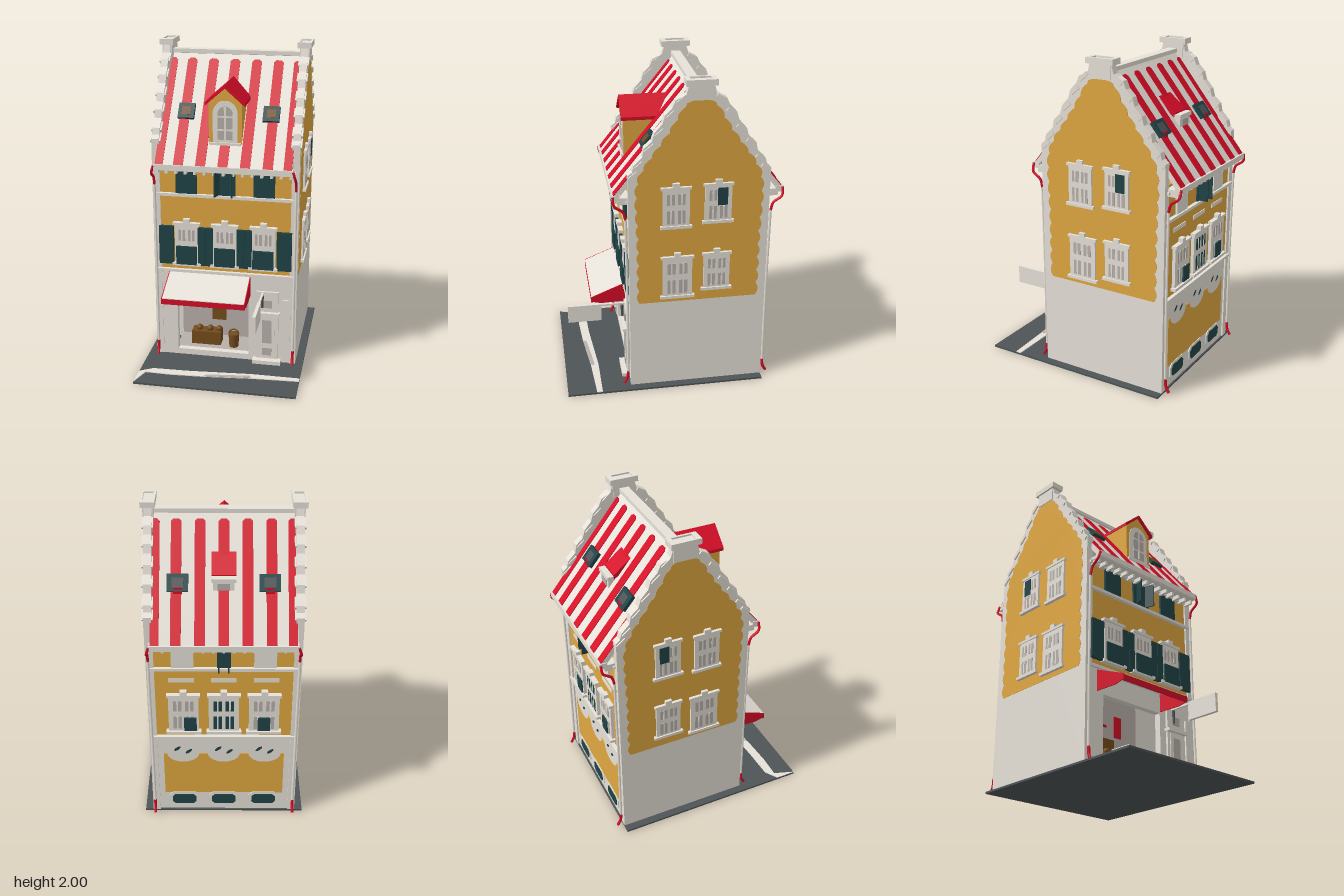
import * as THREE from 'three';

const mat = (name, color) => Object.assign(new THREE.MeshStandardMaterial({ color }), { name });
const white = mat('plaster white', 0xe6e1d8);
const yellow = mat('ochre wall', 0xe0a740);
const red = mat('roof red', 0xd60c26);
const green = mat('shutter green', 0x204346);
const slate = mat('paving slate', 0x4e5456);
const grey = mat('pane grey', 0xb8b0aa);
const brown = mat('wood brown', 0x744c1c);

const MID = -0.15; // z of the ridge

function add(parent, name, geo, material, x = 0, y = 0, z = 0) {
  const m = new THREE.Mesh(geo, material);
  m.name = name;
  m.position.set(x, y, z);
  parent.add(m);
  return m;
}
const box = (parent, name, material, w, h, d, x, y, z) =>
  add(parent, name, new THREE.BoxGeometry(w, h, d), material, x, y, z);

function group(parent, name, x = 0, y = 0, z = 0, ry = 0) {
  const g = new THREE.Group();
  g.name = name;
  g.position.set(x, y, z);
  g.rotation.y = ry;
  parent.add(g);
  return g;
}
const shapeOf = pts => new THREE.Shape(pts.map(p => new THREE.Vector2(p[0], p[1])));
const extrude = (shape, depth) =>
  new THREE.ExtrudeGeometry(shape, { depth, bevelEnabled: false, curveSegments: 12 });
// Profile given as (z, y), extruded along x and centred on x = 0
const sideExtrude = (pts, depth) =>
  extrude(shapeOf(pts), depth).rotateY(-Math.PI / 2).translate(depth / 2, 0, 0);
// Right half profile (w, y) closed by its mirror image
const mirrored = half => [...half, ...half.map(([w, y]) => [-w, y]).reverse()];
// Plate with chamfered corners, centred on the origin
const chamfered = (w, h, c) => shapeOf(mirrored([[w / 2 - c, -h / 2], [w / 2, -h / 2 + c], [w / 2, h / 2 - c], [w / 2 - c, h / 2]]));

// Casement window facing +z, standing on its local origin
function windowUnit(parent, name, x, y, z, w, h, pane = grey) {
  const g = group(parent, name, x, y, z);
  box(g, 'windowFrame', white, w, h, 0.02, 0, h / 2, 0.01);
  const pw = w * 0.28, ph = h * 0.34;
  for (const s of [-1, 1]) for (const [fy, k] of [[0.27, 1], [0.72, 0.8]]) {
    box(g, 'pane', pane, pw, ph * k, 0.006, s * w * 0.2, h * fy, 0.019);
    box(g, 'glazingBar', white, 0.01, ph * k, 0.008, s * w * 0.2, h * fy, 0.02);
  }
  box(g, 'windowSill', white, w + 0.03, 0.018, 0.035, 0, 0.004, 0.017);
  box(g, 'windowLintel', white, w + 0.02, 0.016, 0.03, 0, h, 0.015);
  box(g, 'keystone', white, 0.04, 0.035, 0.03, 0, h + 0.015, 0.015);
}

function buildGable(root, s) {
  const g = group(root, 'gableWall', s * 0.428, 0, MID);
  // Stepped white wall rising into a chimney block
  const outline = [[0.42, 0.01], [0.42, 1.45], [0.395, 1.47], [0.385, 1.51], [0.335, 1.56], [0.325, 1.61],
    [0.28, 1.65], [0.265, 1.7], [0.22, 1.75], [0.205, 1.8], [0.165, 1.84], [0.145, 1.885], [0.085, 1.915], [0.07, 1.97]];
  add(g, 'gablePlaster', sideExtrude(mirrored(outline), 0.046), white);
  box(g, 'chimneyBlock', white, 0.06, 0.1, 0.14, 0, 1.93, 0);
  for (const e of [-1, 1]) {
    box(g, 'chimneyRim', white, 0.014, 0.035, 0.18, e * 0.035, 1.9825, 0);
    box(g, 'chimneyRim', white, 0.084, 0.035, 0.03, 0, 1.9825, e * 0.075);
  }
  box(g, 'chimneyTop', white, 0.06, 0.02, 0.14, 0, 1.98, 0);
  // Coping blocks on every step
  for (const e of [-1, 1]) for (let i = 1; i < outline.length - 2; i += 2) {
    const [w, y] = outline[i];
    const b = box(g, 'copingBlock', white, 0.064, 0.022, 0.065, 0, y, e * (w - 0.033));
    b.rotation.x = e * 0.7;
  }
  // Ochre field with a scalloped border
  const curve = new THREE.CatmullRomCurve3([[0.36, 0.605], [0.36, 1.0], [0.36, 1.4], [0.315, 1.5], [0.245, 1.6],
    [0.175, 1.7], [0.115, 1.8], [0.075, 1.86], [0.01, 1.885]].map(p => new THREE.Vector3(...p, 0)));
  const half = curve.getSpacedPoints(96).map((p, i) => [p.x + 0.016 * Math.abs(Math.sin(i * Math.PI / 6)), p.y]);
  add(g, 'ochreField', sideExtrude(mirrored(half), 0.004), yellow, s * 0.023);
  // Four shallow side windows
  const face = group(g, 'sideWindows', s * 0.025, 0, 0, s * Math.PI / 2);
  face.scale.z = 0.6;
  for (const [z, y, w, h] of [[0.14, 1.11, 0.16, 0.25], [-0.11, 1.13, 0.16, 0.24],
    [0.13, 0.64, 0.18, 0.27], [-0.11, 0.68, 0.16, 0.24]]) windowUnit(face, 'sideWindow', -s * z, y, 0, w, h);
  box(face, 'openPane', green, 0.06, 0.11, 0.006, s * 0.135, 1.295, 0.026);
}

function buildRoof(root) {
  const angle = Math.atan2(0.63, 0.51), len = 0.81;
  for (const ry of [0, Math.PI]) {
    const back = ry > 0;
    const side = group(root, back ? 'backRoof' : 'frontRoof', 0, 1.93, MID, ry);
    const slope = group(side, 'roofSlope');
    slope.rotation.x = angle;
    box(slope, 'roofSheet', white, 0.83, 0.03, len, 0, -0.015, len / 2);
    for (let i = -3; i <= 3; i++) {
      const outer = Math.abs(i) === 3;
      const stripe = chamfered(outer ? 0.05 : 0.06, len - 0.07, 0.015);
      add(slope, 'roofStripe', extrude(stripe, 0.004).rotateX(-Math.PI / 2), red, i * (outer ? 0.1295 : 0.135), 0, len / 2 + 0.03);
    }
    // Skylights, the rear ones with a red upright apron
    const at = 0.436, w = back ? 0.12 : 0.1;
    for (const x of [-0.26, 0.26]) {
      box(slope, 'skylightFrame', green, w, 0.022, 0.1, x, 0.01, at);
      box(slope, 'skylightPane', back ? slate : brown, w * 0.55, 0.006, 0.055, x, 0.02, at);
      if (back) box(slope, 'skylightApron', red, 0.05, 0.04, 0.006, x, 0.012, at + 0.047).rotation.x = -angle;
    }
    // Gutter and eave brackets
    box(side, 'gutter', white, 0.84, 0.035, 0.045, 0, -0.63, 0.488);
    box(side, 'soffit', white, 0.84, 0.02, 0.1, 0, -0.64, 0.45);
    for (let i = 0; i < 15; i++) box(side, 'eaveBracket', white, 0.016, 0.03, 0.06, (i - 7) * 0.058, -0.66, 0.45);
    // Downpipes with red head and shoe
    for (const s of [-1, 1]) {
      const pipe = (name, m, pts, r) => add(root, name, new THREE.TubeGeometry(new THREE.CatmullRomCurve3(
        pts.map(([z, y, x = 0.435]) => new THREE.Vector3(s * x, y, MID + z * (back ? -1 : 1)))), 16, r, 8), m);
      pipe('pipeHead', red, [[0.505, 1.31, 0.42], [0.5, 1.26], [0.45, 1.22], [0.435, 1.17]], 0.008);
      pipe('downpipe', white, [[0.435, 1.17], [0.432, 0.6], [0.435, 0.1]], 0.008);
      pipe('pipeShoe', red, [[0.435, 0.11], [0.44, 0.06], [0.46, 0.022]], 0.009);
    }
  }
  box(root, 'ridgeCap', white, 0.83, 0.025, 0.06, 0, 1.922, MID);
}

function archShape(w, h) {
  const s = new THREE.Shape();
  s.moveTo(-w / 2, 0);
  s.lineTo(w / 2, 0);
  s.lineTo(w / 2, h - w / 2);
  s.absarc(0, h - w / 2, w / 2, 0, Math.PI, false);
  return s;
}

function buildDormers(root) {
  const d = group(root, 'frontDormer');
  add(d, 'dormerBody', extrude(shapeOf([[-0.1, 1.4], [0.1, 1.4], [0.1, 1.68], [0, 1.77], [-0.1, 1.68]]), 0.29), yellow, 0, 0, -0.04);
  add(d, 'dormerRoof', extrude(shapeOf([[-0.12, 1.665], [0, 1.77], [0.12, 1.665], [0.12, 1.685], [0, 1.79], [-0.12, 1.685]]), 0.31), red, 0, 0, -0.045);
  add(d, 'archFrame', extrude(archShape(0.15, 0.261), 0.008), white, 0, 1.434, 0.247);
  add(d, 'archPane', extrude(archShape(0.09, 0.202), 0.005), grey, 0, 1.46, 0.253);
  box(d, 'archBar', white, 0.014, 0.2, 0.008, 0, 1.56, 0.256);
  for (const y of [1.52, 1.6]) box(d, 'archBar', white, 0.09, 0.01, 0.008, 0, y, 0.256);
  box(d, 'archSill', white, 0.19, 0.016, 0.02, 0, 1.435, 0.254);

  const b = group(root, 'backDormer');
  box(b, 'backDormerBody', white, 0.12, 0.12, 0.13, 0, 1.56, -0.385);
  box(b, 'backDormerPane', grey, 0.07, 0.045, 0.006, 0, 1.58, -0.451);
  add(b, 'backDormerRoof', sideExtrude([[-0.42, 1.612], [-0.3, 1.7], [-0.3, 1.74], [-0.42, 1.642]], 0.14), red);
  box(b, 'backDormerEave', white, 0.14, 0.025, 0.045, 0, 1.622, -0.435);
}

function buildFacades(root) {
  box(root, 'upperFloors', yellow, 0.82, 0.72, 0.82, 0, 0.955, MID);
  box(root, 'groundFloorRear', white, 0.82, 0.59, 0.58, 0, 0.305, -0.27);
  for (const ry of [0, Math.PI]) {
    const back = ry > 0;
    const f = group(root, back ? 'backFacade' : 'frontFacade', 0, 0, MID, ry);
    for (const y of [0.605, 1.105, 1.275]) box(f, 'ledge', white, 0.86, 0.018, 0.035, 0, y, 0.415);
    [-0.24, 0, 0.24].forEach((x, i) => {
      // Top floor hatches
      const centre = i === 1, w = centre && back ? 0.08 : 0.13;
      box(f, 'hatchPanel', back && !centre ? white : green, w, 0.155, 0.014, x, 1.192, 0.416);
      if (centre) for (const s of [-1, 1]) {
        const leaf = box(f, 'openLeaf', green, 0.008, 0.15, 0.06, x + s * w * 0.35, 1.195, 0.452);
        leaf.rotation.y = back ? 0 : s * 0.3;
      }
      // Middle floor windows
      windowUnit(f, 'middleWindow', x, 0.65, 0.41, back ? 0.18 : 0.15, 0.27, back && centre ? green : grey);
      if (!back) box(f, 'lowerShutter', green, 0.13, 0.12, 0.012, x, 0.715, 0.44);
      else if (!centre) box(f, 'backShutter', green, 0.075, 0.095, 0.01, x + (i ? 0 : 0.04), 0.715, 0.436);
    });
    if (back) continue;
    for (const x of [-0.392, -0.346, -0.146, -0.097, 0.097, 0.146, 0.346, 0.392])
      box(f, 'shutter', green, 0.046, 0.25, 0.02, x, 0.775, 0.425);
  }

  // Painted panels on the rear ground floor
  const r = group(root, 'rearGroundFloor', 0, 0, MID, Math.PI);
  box(r, 'rearOchre', yellow, 0.74, 0.32, 0.006, 0, 0.31, 0.411);
  for (const x of [-0.25, 0, 0.25]) {
    add(r, 'cellarSurround', extrude(chamfered(0.19, 0.11, 0.025), 0.005), white, x, 0.1, 0.413);
    add(r, 'cellarWindow', extrude(chamfered(0.15, 0.075, 0.018), 0.005), green, x, 0.1, 0.416);
    const lobe = add(r, 'scallop', new THREE.CircleGeometry(0.1, 20), white, x, 0.475, 0.416);
    lobe.scale.y = 0.7;
    for (const s of [-1, 1]) {
      const leaf = add(r, 'leafOrnament', new THREE.CircleGeometry(0.025, 12), green, x + s * 0.035, 0.5 - s * 0.01, 0.418);
      leaf.scale.y = 0.4;
      leaf.rotation.z = 0.7;
    }
    box(r, 'wallBand', white, 0.15, 0.025, 0.006, x, 1.02, 0.412);
  }
}

function buildShop(root) {
  const g = group(root, 'shopFront');
  // Front wall with the display opening
  const wall = shapeOf([[-0.42, 0.01], [0.42, 0.01], [0.42, 0.6], [-0.42, 0.6]]);
  wall.holes.push(new THREE.Path([[-0.31, 0.05], [-0.31, 0.45], [0.15, 0.45], [0.15, 0.05]].map(p => new THREE.Vector2(...p))));
  add(g, 'shopWall', extrude(wall, 0.04), white, 0, 0, 0.225);
  box(g, 'shopBackWall', grey, 0.5, 0.56, 0.01, -0.08, 0.3, 0.03);
  box(g, 'shopFloor', grey, 0.5, 0.04, 0.2, -0.08, 0.03, 0.13);
  box(g, 'shopBanner', red, 0.055, 0.13, 0.008, -0.01, 0.37, 0.06);
  box(g, 'shopStripe', red, 0.2, 0.015, 0.006, -0.18, 0.37, 0.04);
  box(g, 'counter', brown, 0.19, 0.09, 0.08, -0.14, 0.105, 0.16);
  for (const x of [-0.19, -0.12, -0.06]) add(g, 'goods', new THREE.SphereGeometry(0.022, 12, 8), brown, x, 0.16, 0.16);
  box(g, 'shelf', brown, 0.09, 0.11, 0.02, -0.08, 0.23, 0.05);
  add(g, 'basket', new THREE.CylinderGeometry(0.035, 0.03, 0.09, 14), brown, 0.04, 0.1, 0.18);
  add(g, 'basketHandle', new THREE.TorusGeometry(0.03, 0.005, 6, 14, Math.PI), brown, 0.04, 0.145, 0.18);

  // Awning: white cloth between red ends, red valance
  const a = group(g, 'awning', -0.1);
  add(a, 'awningCloth', sideExtrude([[0.26, 0.575], [0.482, 0.49], [0.482, 0.502], [0.26, 0.592]], 0.51), white);
  for (const x of [-0.257, 0.257])
    add(a, 'awningEnd', sideExtrude([[0.26, 0.46], [0.42, 0.455], [0.482, 0.47], [0.482, 0.502], [0.26, 0.592]], 0.006), red, x);
  box(a, 'valance', red, 0.52, 0.035, 0.008, 0, 0.48, 0.479);

  // Door with surround and lamp
  const d = group(g, 'entrance', 0.27, 0, 0.265);
  box(d, 'doorSurround', white, 0.14, 0.46, 0.016, 0, 0.27, 0.006);
  box(d, 'doorLeaf', white, 0.1, 0.285, 0.01, 0, 0.195, 0.014);
  for (const [y, h] of [[0.23, 0.16], [0.09, 0.05], [0.42, 0.05]]) box(d, 'doorPanel', grey, 0.06, h, 0.008, 0, y, 0.018);
  box(d, 'doorCanopy', white, 0.16, 0.02, 0.04, 0, 0.355, 0.018);
  box(d, 'doorStep', white, 0.18, 0.025, 0.06, 0, 0.025, 0.02);
  box(d, 'wallPlate', white, 0.05, 0.3, 0.012, 0.12, 0.3, 0.005);
  add(d, 'lamp', new THREE.CylinderGeometry(0.01, 0.007, 0.08, 10), slate, -0.03, 0.44, 0.03);

  // Hanging sign on its bracket
  box(g, 'signBoard', white, 0.02, 0.115, 0.21, 0.24, 0.442, 0.533);
  box(g, 'signBracket', white, 0.012, 0.012, 0.18, 0.24, 0.49, 0.35);
}

function buildGround(root) {
  box(root, 'groundSlab', slate, 1, 0.012, 1.24, 0, 0.006, 0.05);
  const plate = (name, m, y, pts) => add(root, name, extrude(shapeOf(pts.map(([x, z]) => [x, -z])), 0.005).rotateX(-Math.PI / 2), m, 0, y, 0);
  plate('kerb', white, 0.012, [[-0.5, 0.54], [-0.3, 0.545], [-0.1, 0.535], [0.2, 0.505], [0.5, 0.49], [0.5, 0.455], [0.2, 0.455], [-0.2, 0.485], [-0.42, 0.49]]);
  plate('kerbCorner', white, 0.012, [[-0.5, 0.67], [-0.455, 0.54], [-0.5, 0.54]]);
  plate('kerbPaving', grey, 0.014, [[-0.09, 0.533], [0.2, 0.504], [0.2, 0.48], [-0.07, 0.51]]);
}

export function createModel() {
  const root = new THREE.Group();
  root.name = 'townHouse';
  buildGround(root);
  buildFacades(root);
  for (const s of [-1, 1]) buildGable(root, s);
  buildRoof(root);
  buildDormers(root);
  buildShop(root);
  return root;
}
